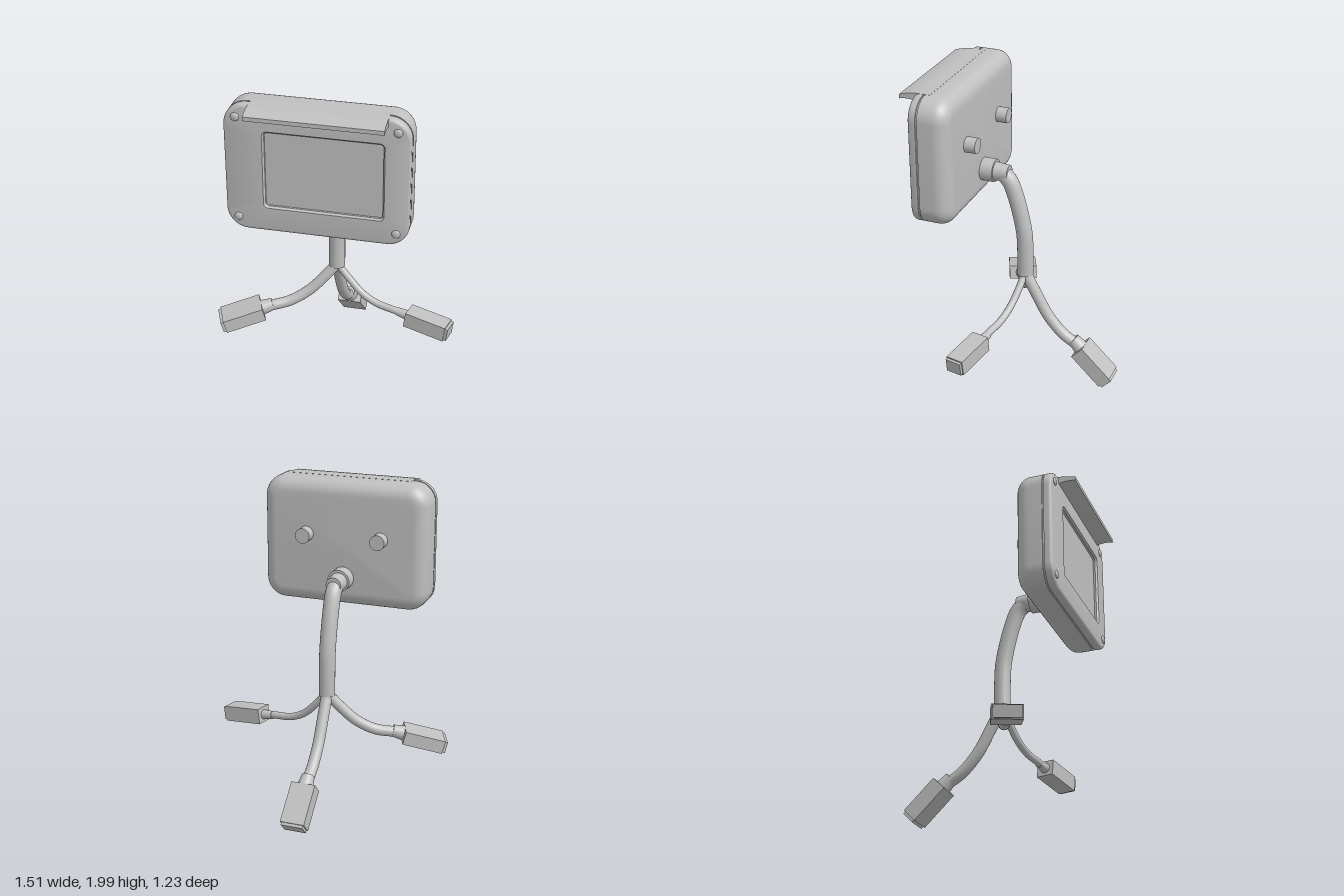
import * as THREE from 'three';
import { toCreasedNormals } from 'three/addons/utils/BufferGeometryUtils.js';

const CX = -0.02;
const V = (x, y, z) => new THREE.Vector3(x, y, z);

// Lofts rounded rectangles [cx, cy, width, height, radius, z] from back to front, capped at both ends
function loftRects(rings) {
  const seg = 10, n = 4 * (seg + 1), pos = [], idx = [];
  for (const [cx, cy, w, h, r, z] of rings) {
    for (let c = 0; c < 4; c++) {
      const sx = c === 0 || c === 3 ? 1 : -1, sy = c < 2 ? 1 : -1;
      for (let i = 0; i <= seg; i++) {
        const a = (c + i / seg) * Math.PI / 2;
        pos.push(cx + sx * (w / 2 - r) + r * Math.cos(a), cy + sy * (h / 2 - r) + r * Math.sin(a), z);
      }
    }
  }
  for (let k = 0; k < rings.length - 1; k++) {
    for (let i = 0; i < n; i++) {
      const a = k * n + i, b = k * n + (i + 1) % n;
      idx.push(a, b, b + n, a, b + n, a + n);
    }
  }
  const last = (rings.length - 1) * n;
  for (let i = 1; i < n - 1; i++) idx.push(0, i + 1, i, last, last + i, last + i + 1);
  const g = new THREE.BufferGeometry();
  g.setAttribute('position', new THREE.Float32BufferAttribute(pos, 3));
  g.setIndex(idx);
  return toCreasedNormals(g, 0.6);
}

export function createModel() {
  const model = new THREE.Group();
  model.name = 'displayWithCableHarness';
  const grey = new THREE.MeshStandardMaterial({ color: 0xc0c0c0 });
  grey.name = 'light grey';

  const add = (name, geo, parent = model) => {
    const m = new THREE.Mesh(geo, grey);
    m.name = name;
    parent.add(m);
    return m;
  };
  const cylZ = (name, r0, r1, z0, z1, x, y, parent = model) => {
    const g = new THREE.CylinderGeometry(r1, r0, z1 - z0, 32).rotateX(Math.PI / 2);
    return add(name, g.translate(x, y, (z0 + z1) / 2), parent);
  };
  const tube = (name, points, r) =>
    add(name, new THREE.TubeGeometry(new THREE.CatmullRomCurve3(points), 48, r, 20));

  // Housing: soft back edge, seam groove, small front edge, recessed screen
  const outer = (inset, z) => [CX, 1.6, 1.08 - 2 * inset, 0.798 - 2 * inset, 0.13 - inset, z];
  const rings = [];
  for (let i = 0; i <= 8; i++) {
    const a = i / 8 * Math.PI / 2;
    rings.push(outer(0.09 * (1 - Math.sin(a)), 0.27 + 0.09 * (1 - Math.cos(a))));
  }
  rings.push(outer(0, 0.45), outer(0.008, 0.45), outer(0.008, 0.46), outer(0, 0.46));
  for (let i = 0; i <= 4; i++) {
    const a = i / 4 * Math.PI / 2;
    rings.push(outer(0.02 * (1 - Math.cos(a)), 0.49 + 0.02 * Math.sin(a)));
  }
  rings.push(
    [0.02, 1.6, 0.71, 0.49, 0.03, 0.51],
    [0.02, 1.6, 0.69, 0.47, 0.02, 0.498],
    [0.02, 1.6, 0.69, 0.47, 0.02, 0.485]);
  add('housing', loftRects(rings));

  // Sun hood over the front, extruded along x from its side profile
  const hood = new THREE.Shape();
  hood.moveTo(0.42, 2.0);
  hood.lineTo(0.51, 2.0);
  hood.quadraticCurveTo(0.57, 1.995, 0.618, 1.977);
  hood.lineTo(0.618, 1.952);
  hood.quadraticCurveTo(0.57, 1.966, 0.5, 1.95);
  hood.lineTo(0.42, 1.95);
  const hoodGeo = new THREE.ExtrudeGeometry(hood, { depth: 0.8, bevelEnabled: false, curveSegments: 10 });
  hoodGeo.rotateY(-Math.PI / 2).translate(0.39, 0, 0);
  add('sunHood', toCreasedNormals(hoodGeo, 0.6));

  // Domed corner screws
  for (const x of [-0.488, 0.446]) for (const y of [1.28, 1.92]) {
    const dome = new THREE.SphereGeometry(0.026, 20, 8, 0, Math.PI * 2, 0, Math.PI / 2);
    add('screw', dome.scale(1, 0.5, 1).rotateX(Math.PI / 2).translate(x, y, 0.509));
  }

  // Rear knobs and cable gland
  for (const x of [-0.265, 0.225]) cylZ('rearKnob', 0.048, 0.048, 0.2, 0.275, x, 1.65);
  cylZ('cableGland', 0.072, 0.072, 0.188, 0.275, CX, 1.385);
  cylZ('glandSleeve', 0.05, 0.059, 0.1, 0.19, CX, 1.382).rotation.x = 0;

  // Main cable, curving down to the split
  tube('mainCable', [V(CX, 1.385, 0.2), V(CX, 1.375, 0.145), V(CX, 1.335, 0.1), V(CX, 1.24, 0.06),
    V(CX, 1.0, 0.003), V(CX, 0.85, -0.006), V(CX, 0.7, -0.006)], 0.051);
  add('cableEnd', new THREE.CylinderGeometry(0.051, 0.051, 0.006, 20).translate(CX, 0.703, -0.006));

  // Branch cable with a tapered strain relief and a boxy plug at the end
  function branch(side, points, r, start, end, w, h) {
    const len = start.distanceTo(end), tip = 0.018;
    tube(side + 'Cable', points.concat([start]), r);
    const plug = new THREE.Group();
    plug.name = side + 'Plug';
    plug.position.copy(start);
    plug.lookAt(end);
    model.add(plug);
    add('plugBody', new THREE.BoxGeometry(w, h, len - tip).translate(0, 0, (len - tip) / 2), plug);
    add('plugTip', new THREE.BoxGeometry(w * 0.9, h * 0.84, tip).translate(0, 0, len - tip / 2), plug);
    cylZ('strainRelief', r * 1.12, r * 1.4, -0.07, 0.005, 0, 0, plug);
  }
  const split = V(CX, 0.71, -0.005);
  branch('right', [split, V(-0.09, 0.625, 0.025), V(-0.19, 0.525, 0.065), V(-0.3, 0.462, 0.112),
    V(-0.4, 0.442, 0.157)], 0.034, V(-0.465, 0.43, 0.184), V(-0.712, 0.357, 0.288), 0.18, 0.085);
  branch('left', [split, V(0.06, 0.62, 0.01), V(0.15, 0.535, 0.032), V(0.25, 0.487, 0.055),
    V(0.38, 0.468, 0.084)], 0.023, V(0.46, 0.455, 0.099), V(0.737, 0.418, 0.162), 0.115, 0.1);
  branch('rear', [split, V(CX, 0.56, -0.085), V(CX, 0.42, -0.165), V(CX, 0.31, -0.265),
    V(CX, 0.262, -0.34)], 0.036, V(CX, 0.235, -0.385), V(CX, 0.04, -0.586), 0.155, 0.1);

  return model;
}
